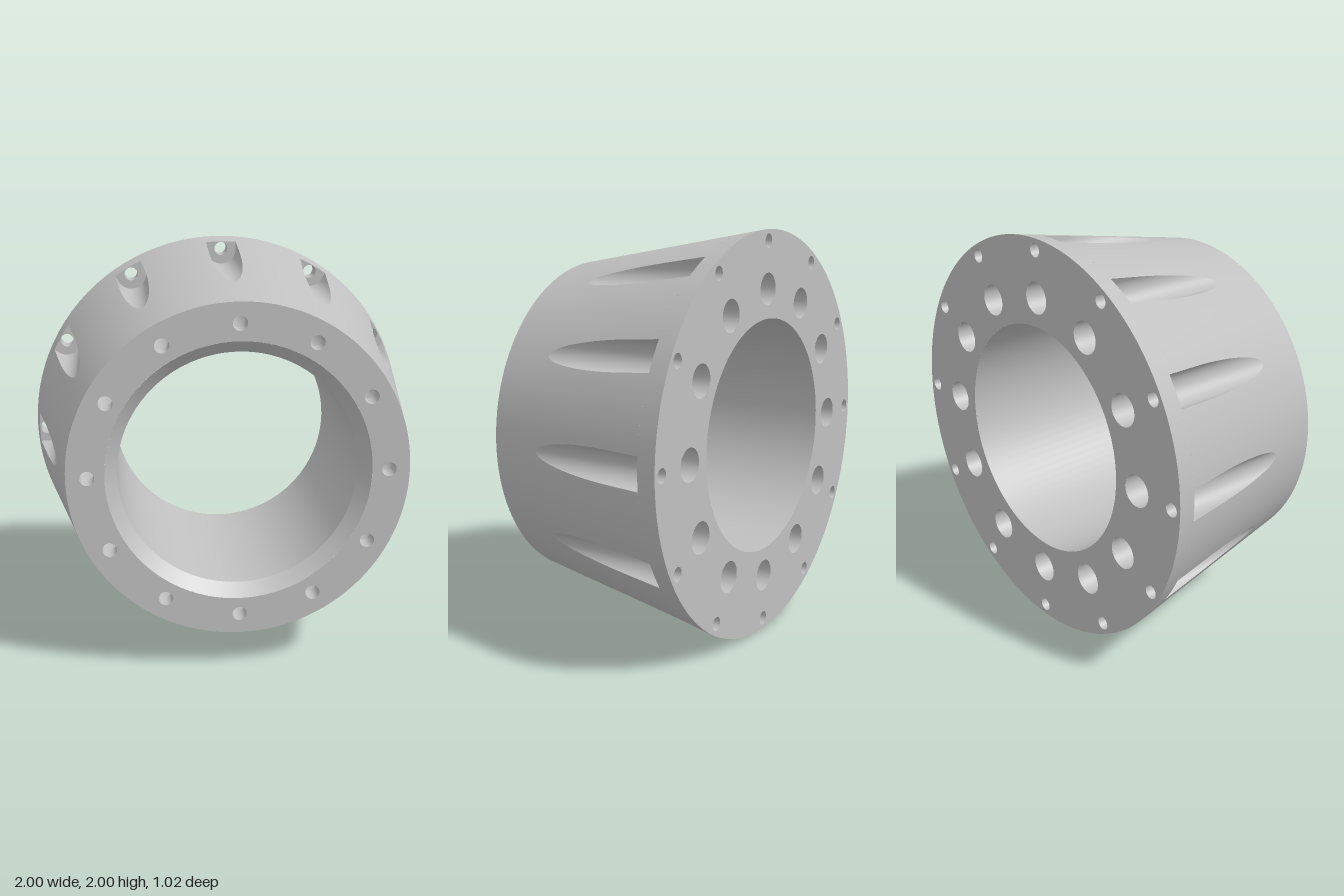
import * as THREE from 'three';

const COUNT = 12, STEP = Math.PI * 2 / COUNT;
const HALF = 0.51;                       // half length along z
const R_BACK = 1, R_FRONT = 0.817;       // taper radii
const BORE = 0.575, CHAMFER = 0.06;
const BOLT_C = 0.717, BOLT_R = 0.035, COUNTERBORE_R = 0.078;
const POCKET_C = 0.945, POCKET_R = 0.078, RIM_HOLE_R = 0.034;
const POCKET_Z = -0.41;                  // back wall of the pockets
const SLOPE = (R_BACK - R_FRONT) / (2 * HALF);
const TIP_Z = HALF - (POCKET_C - POCKET_R - R_FRONT) / SLOPE;

const radiusAt = z => R_FRONT + (HALF - z) * SLOPE;

// Half angle that a pocket takes out of the taper at height z
function pocketAngle(z) {
  const R = radiusAt(z);
  if (R >= Math.hypot(POCKET_C, POCKET_R)) return Math.asin(POCKET_R / R);
  const c = (POCKET_C ** 2 + R * R - POCKET_R ** 2) / (2 * POCKET_C * R);
  return Math.acos(Math.min(1, c));
}

// Surface from a rule: f(i, j) gives [position, normal]
function grid(rows, cols, f) {
  const pos = [], nor = [], idx = [];
  for (let i = 0; i <= rows; i++) {
    for (let j = 0; j <= cols; j++) {
      const [p, n] = f(i, j);
      pos.push(...p);
      nor.push(...new THREE.Vector3(...n).normalize().toArray());
      if (i < rows && j < cols) {
        const a = i * (cols + 1) + j, b = a + cols + 1;
        idx.push(a, b, a + 1, b, b + 1, a + 1);
      }
    }
  }
  const g = new THREE.BufferGeometry();
  g.setAttribute('position', new THREE.Float32BufferAttribute(pos, 3));
  g.setAttribute('normal', new THREE.Float32BufferAttribute(nor, 3));
  g.setIndex(idx);
  return g;
}

// One 30 degree strip of the taper between two pocket centres
function taperStrip(zs, angleAt) {
  return grid(zs.length - 1, 8, (i, j) => {
    const z = zs[i], a = angleAt(z), R = radiusAt(z);
    const t = a + (STEP - 2 * a) * j / 8;
    const s = Math.sin(t), c = Math.cos(t);
    return [[R * s, R * c, z], [s, c, SLOPE]];
  });
}

// U-shaped pocket section at z, left lip to right lip: [x, y, phi]
const ARC = 20;
function pocketSection(z) {
  const R = radiusAt(z), a = pocketAngle(z);
  const x = R * Math.sin(a), y = R * Math.cos(a);
  const max = y >= POCKET_C ? Math.PI / 2 : Math.atan2(x, POCKET_C - y);
  const pts = [[-x, y, -max]];
  for (let k = 0; k <= ARC; k++) {
    const phi = max * (2 * k / ARC - 1);
    pts.push([POCKET_R * Math.sin(phi), POCKET_C - POCKET_R * Math.cos(phi), phi]);
  }
  pts.push([x, y, max]);
  return pts;
}

function circle(path, x, y, r, clockwise) {
  path.moveTo(x + r, y);
  path.absarc(x, y, r, 0, Math.PI * 2, clockwise);
  return path;
}

// Flat ring with bolt circles: holes is a list of [circle radius, hole radius]
function plate(outer, inner, holes) {
  const shape = circle(new THREE.Shape(), 0, 0, outer, false);
  shape.holes.push(circle(new THREE.Path(), 0, 0, inner, true));
  for (const [c, r] of holes) {
    for (let i = 0; i < COUNT; i++) {
      const x = c * Math.sin(i * STEP), y = c * Math.cos(i * STEP);
      shape.holes.push(circle(new THREE.Path(), x, y, r, true));
    }
  }
  return new THREE.ShapeGeometry(shape, 96);
}

// Inward-facing turned surface along z, profile [radius, z] from front to back
function turned(profile, segments) {
  const g = new THREE.LatheGeometry(profile.map(p => new THREE.Vector2(...p)), segments);
  return g.rotateX(Math.PI / 2);
}

export function createModel() {
  const metal = new THREE.MeshStandardMaterial({ color: 0xc0c0c0 });
  metal.name = 'greyMetal';
  const model = new THREE.Group();
  model.name = 'taperedFlange';
  const add = (parent, name, geometry) => {
    const mesh = new THREE.Mesh(geometry, metal);
    mesh.name = name;
    parent.add(mesh);
    return mesh;
  };

  // Flat ends
  add(model, 'frontFace', plate(R_FRONT, BORE + CHAMFER, [[BOLT_C, BOLT_R]])).position.z = HALF;
  const back = plate(R_BACK, BORE, [[BOLT_C, COUNTERBORE_R], [POCKET_C, RIM_HOLE_R]]);
  add(model, 'backFace', back.rotateY(Math.PI)).position.z = -HALF;

  // Central bore and its front chamfer
  add(model, 'bore', turned([[BORE, HALF - CHAMFER], [BORE, -HALF]], 96));
  add(model, 'boreChamfer', turned([[BORE + CHAMFER, HALF], [BORE, HALF - CHAMFER]], 96));

  // Stations along the pocket, closer together near its tip
  const zs = [];
  for (let i = 0; i <= 20; i++) zs.push(TIP_Z - (TIP_Z - POCKET_Z) * (1 - i / 20) ** 2);
  const sections = zs.map(pocketSection);

  const rimStrip = taperStrip([-HALF, POCKET_Z], () => 0);
  const pocketStrip = taperStrip(zs, pocketAngle);
  const frontStrip = taperStrip([TIP_Z, HALF], () => 0);
  const groove = grid(20, ARC + 2, (i, j) => {
    const [x, y, phi] = sections[i][j];
    return [[x, y, zs[i]], [-Math.sin(phi), Math.cos(phi), 0]];
  });

  // Pocket back wall with its screw hole
  const wall = new THREE.Shape(sections[0].map(p => new THREE.Vector2(p[0], p[1])));
  const a = pocketAngle(POCKET_Z);
  wall.absarc(0, 0, radiusAt(POCKET_Z), Math.PI / 2 - a, Math.PI / 2 + a, false);
  wall.holes.push(circle(new THREE.Path(), 0, POCKET_C, RIM_HOLE_R, true));
  const wallGeometry = new THREE.ShapeGeometry(wall, 24).translate(0, 0, POCKET_Z);

  const rimHole = turned([[RIM_HOLE_R, POCKET_Z], [RIM_HOLE_R, -HALF]], 32).translate(0, POCKET_C, 0);
  const boltParts = [
    ['boltHole', [[BOLT_R, HALF], [BOLT_R, 0.41]]],
    ['counterboreFloor', [[BOLT_R, 0.41], [COUNTERBORE_R, 0.41]]],
    ['counterbore', [[COUNTERBORE_R, 0.41], [COUNTERBORE_R, -HALF]]],
  ].map(([name, profile]) => [name, turned(profile, 32).translate(0, BOLT_C, 0)]);

  // Twelve identical sectors
  for (let i = 0; i < COUNT; i++) {
    const sector = new THREE.Group();
    sector.name = 'sector' + (i + 1);
    sector.rotation.z = i * STEP;
    add(sector, 'rimSurface', rimStrip);
    add(sector, 'taperSurface', pocketStrip);
    add(sector, 'noseSurface', frontStrip);
    add(sector, 'pocketGroove', groove);
    add(sector, 'pocketBackWall', wallGeometry);
    add(sector, 'rimScrewHole', rimHole);
    for (const [name, geometry] of boltParts) add(sector, name, geometry);
    model.add(sector);
  }

  model.position.y = 1;
  const root = new THREE.Group();
  root.name = 'taperedFlangeModel';
  root.add(model);
  return root;
}
